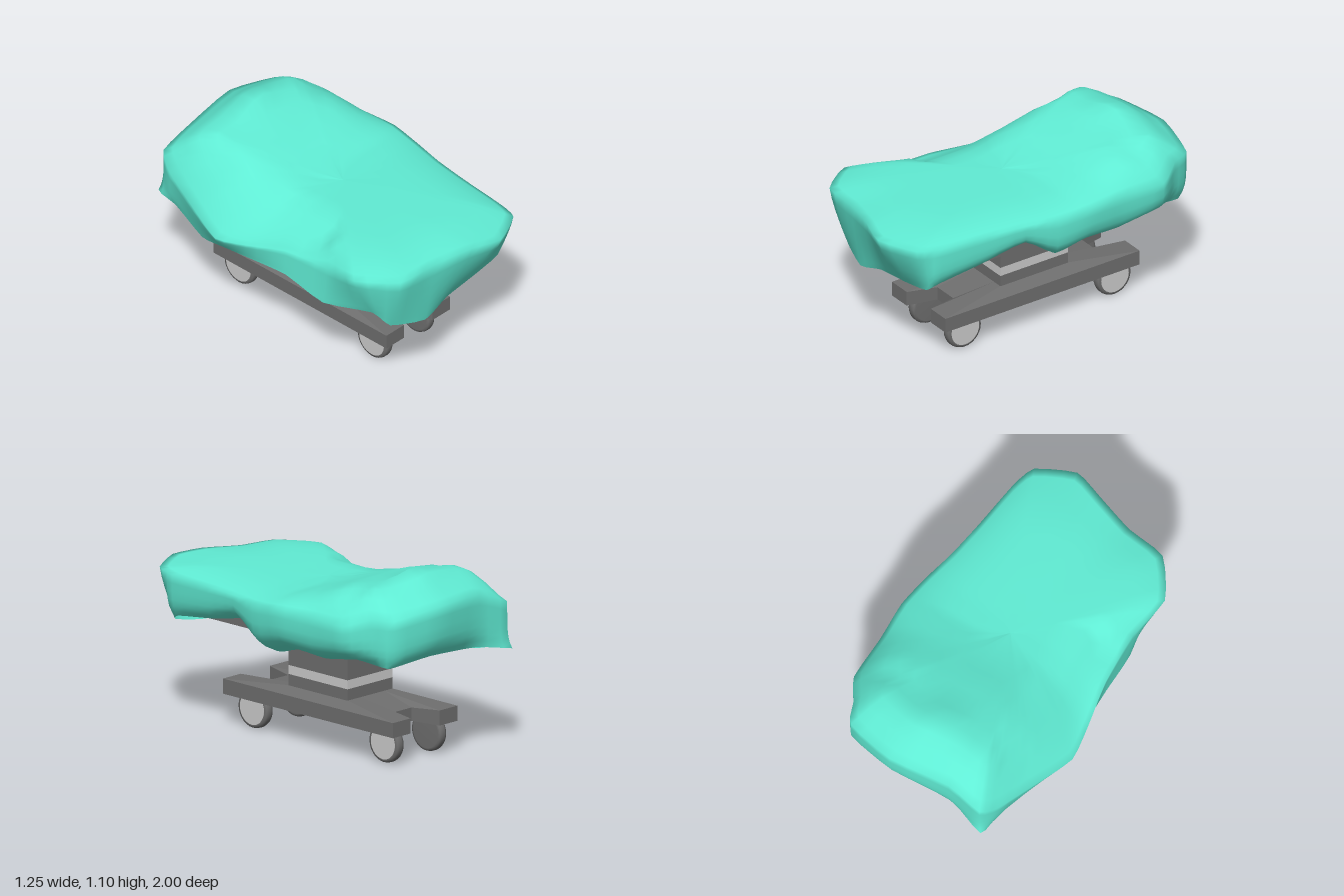
import * as THREE from 'three';

const mat = (color, extra = {}) => new THREE.MeshStandardMaterial({ color, ...extra });

// Skins a list of equal-length closed rings (clockwise from above, top/centre first)
function loft(rings) {
  const n = rings[0].length, index = [];
  for (let j = 0; j < rings.length - 1; j++)
    for (let i = 0; i < n; i++) {
      const k = (i + 1) % n, a = j * n, b = a + n;
      index.push(a + i, b + k, b + i, a + i, a + k, b + k);
    }
  const geo = new THREE.BufferGeometry().setFromPoints(rings.flat());
  geo.setIndex(index);
  geo.computeVertexNormals();
  return geo;
}

// Drape edge, clockwise from the back: rim x, y, z then hem x, y, z
const EDGE = [
  [-.41, .87, -.96, -.43, .60, -.98], [-.2, .95, -.95, -.2, .64, -.92],
  [.16, .96, -1, .16, .66, -.92], [.46, .92, -.94, .45, .64, -.9],
  [.52, .92, -.82, .46, .64, -.81], [.61, .87, -.68, .47, .65, -.66],
  [.61, .88, -.42, .47, .61, -.42], [.625, .885, -.18, .47, .62, -.2],
  [.6, .87, .03, .46, .575, -.03], [.56, .87, .22, .47, .72, .17],
  [.53, .87, .45, .47, .67, .45], [.5, .87, .75, .46, .63, .74],
  [.455, .88, .89, .42, .59, .8], [.24, .89, 1, .22, .55, .8],
  [.06, .9, .95, 0, .53, .81], [-.18, .88, .885, -.18, .475, .82],
  [-.42, .87, .86, -.4, .52, .76], [-.575, .86, .65, -.46, .6, .68],
  [-.53, .8, .4, -.53, .55, .37], [-.55, .78, .1, -.55, .62, .1],
  [-.6, .72, -.15, -.56, .6, -.2], [-.63, .68, -.36, -.56, .58, -.38],
  [-.55, .74, -.62, -.5, .51, -.58], [-.47, .8, -.86, -.45, .58, -.83],
];

// Height of the covered top along z
const RIDGE = [[-1, 1.02], [-.85, 1.11], [-.72, 1.12], [-.62, 1.05], [-.5, 1.04],
  [-.3, .97], [-.1, .92], [.05, .915], [.7, .925], [1, .91]];
function ridge(z) {
  let i = 0;
  while (i < RIDGE.length - 2 && z > RIDGE[i + 1][0]) i++;
  const [z0, y0] = RIDGE[i], [z1, y1] = RIDGE[i + 1];
  return THREE.MathUtils.lerp(y0, y1, THREE.MathUtils.clamp((z - z0) / (z1 - z0), 0, 1));
}

function drapeGeometry() {
  const n = EDGE.length * 3;
  const curve = (o) => {
    const c = new THREE.CatmullRomCurve3(
      EDGE.map((e) => new THREE.Vector3(e[o], e[o + 1], e[o + 2])), true, 'catmullrom', .25);
    return Array.from({ length: n }, (_, i) => c.getPoint(i / n));
  };
  const rim = curve(0), hem = curve(3);
  // Top cloth: rings growing from the middle, rounding over to the rim
  const rings = [0, .15, .3, .45, .6, .7, .8, .88, .95, 1].map((s) => rim.map((p) => {
    const x = .02 + (p.x - .02) * s, z = p.z * s;
    const sag = z < .3 ? .5 * Math.max(0, -x - .28) : 0;
    const peak = .035 * Math.exp(-(((x - .05) / .14) ** 2) - ((z + .74) / .1) ** 2);
    return new THREE.Vector3(x, THREE.MathUtils.lerp(ridge(z) - sag, p.y, s ** 5) + peak, z);
  }));
  // Hanging sides: the left and back hang straight, then curl in under the table edge
  for (const t of [.2, .4, .6, .75, .88, 1])
    rings.push(rim.map((p, i) => {
      const curl = (p.x > .4 && p.z < .8) || p.z < -.8 ? 5 : 1.25;
      const v = p.clone().lerp(hem[i], t ** curl);
      v.y = THREE.MathUtils.lerp(p.y, hem[i].y, t);
      return v;
    }));
  return loft(rings);
}

// Low base with a notch at each end, rising gently to the column foot
function baseGeometry() {
  const outline = [[-.23, -.75], [-.09, -.75], [-.05, -.57], [.1, -.57], [.14, -.75], [.28, -.75],
    [.28, .57], [.14, .57], [.1, .39], [-.05, .39], [-.09, .57], [-.23, .57]];
  const ring = (f) => outline.map(([x, z]) => new THREE.Vector3(...f(x, z)));
  const clamp = THREE.MathUtils.clamp;
  const geo = loft([
    ring((x, z) => [clamp(x, -.155, .2), .295, clamp(z, -.32, .14)]),
    ring((x, z) => [x, x > -.06 && x < .11 ? .255 : .265, z]),
    ring((x, z) => [x, .178, z]),
    ring(() => [.025, .178, -.09]),
  ]).toNonIndexed();
  geo.computeVertexNormals();
  return geo;
}

export function createModel() {
  const model = new THREE.Group();
  model.name = 'drapedTable';
  const dark = mat(0x6e6e6e), light = mat(0xcccccc);
  const flat = mat(0x6e6e6e, { flatShading: true });
  const add = (name, geo, material, x = 0, y = 0, z = 0) => {
    const m = new THREE.Mesh(geo, material);
    m.name = name;
    m.position.set(x, y, z);
    model.add(m);
    return m;
  };

  add('drape', drapeGeometry(), mat(0x60ecd4, { side: THREE.DoubleSide }));
  add('tableTop', new THREE.BoxGeometry(.83, .115, 1.57), dark, .03, .7125, -.085);
  add('base', baseGeometry(), flat);

  // Column in dark and light bands
  const levels = [.29, .36, .412, .605, .656];
  for (let i = 0; i < 4; i++) {
    const h = levels[i + 1] - levels[i];
    add(i % 2 ? 'columnBand' : 'column', new THREE.BoxGeometry(.355, h, .46),
      i % 2 ? light : dark, .0235, levels[i] + h / 2, -.09);
  }

  // Wheels with rounded tread and a pale disc on the outer face
  const tread = [[0, -.028], [.095, -.028], [.109, -.024], [.114, -.01],
    [.114, .01], [.109, .024], [.095, .028], [0, .028]].map(([r, y]) => new THREE.Vector2(r, y));
  for (const side of [-1, 1])
    for (const z of [.397, -.62]) {
      const x = .03 + side * .168;
      add('wheel', new THREE.LatheGeometry(tread, 28), dark, x, .115, z).rotation.z = Math.PI / 2;
      add('wheelHub', new THREE.CylinderGeometry(.093, .093, .006, 28), light,
        x + side * .027, .115, z).rotation.z = Math.PI / 2;
    }
  return model;
}
